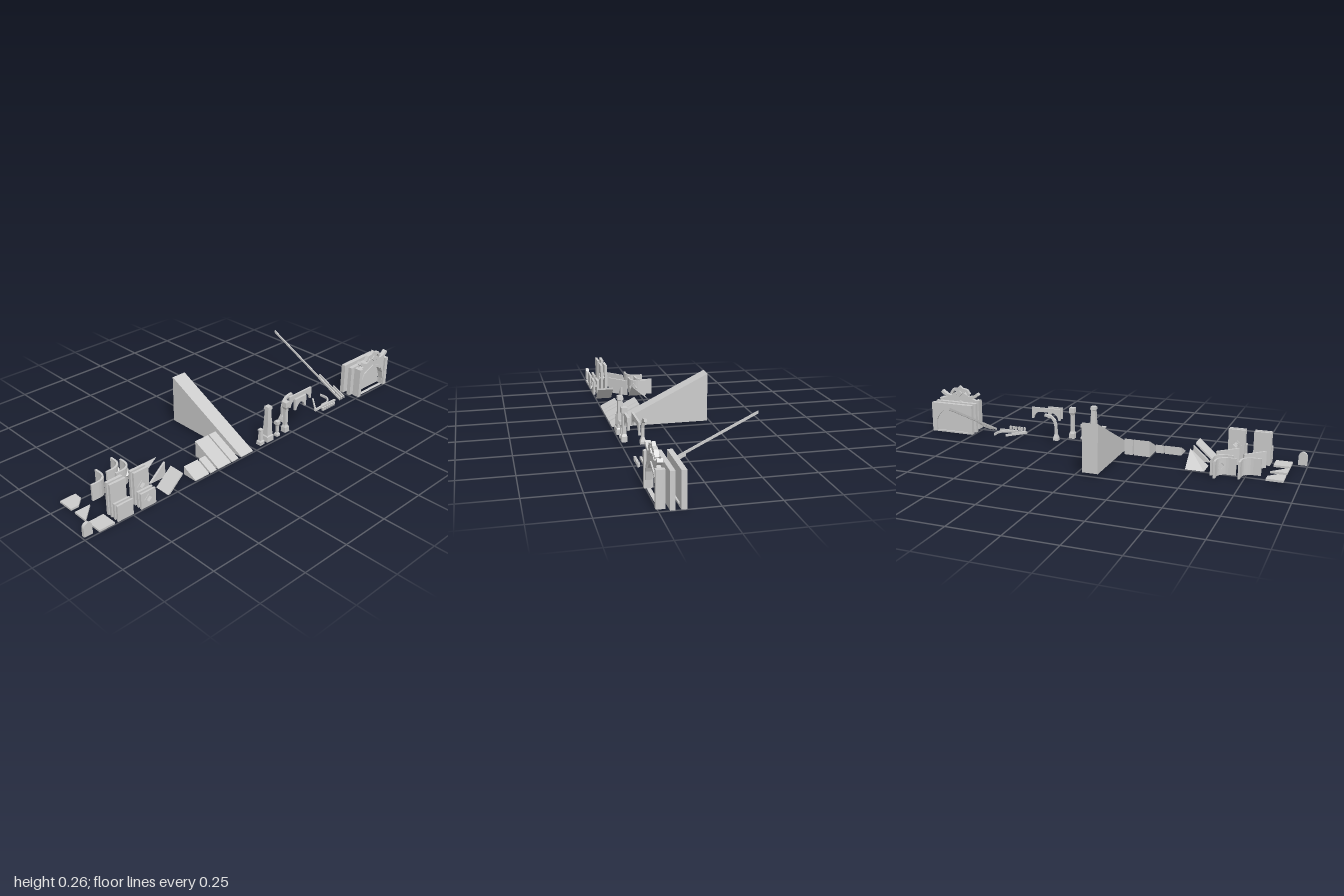
import * as THREE from 'three';

const mat = new THREE.MeshStandardMaterial({ color: 0xcccccc, flatShading: true, side: THREE.DoubleSide });

export function createModel() {
  const root = new THREE.Group();
  const add = (name, geo) => {
    const m = new THREE.Mesh(geo, mat);
    m.name = name;
    root.add(m);
    return m;
  };
  // Box given by its minimum and maximum corners
  const box = (name, x0, x1, y0, y1, z0, z1) =>
    add(name, new THREE.BoxGeometry(x1 - x0, y1 - y0, z1 - z0)
      .translate((x0 + x1) / 2, (y0 + y1) / 2, (z0 + z1) / 2));
  const shapeOf = pts => new THREE.Shape(pts.map(p => new THREE.Vector2(...p)));
  const extrude = (shape, depth) => new THREE.ExtrudeGeometry(shape, { depth, bevelEnabled: false, curveSegments: 8 });
  // Outline in the x-y plane, thick along z
  const upright = (name, shape, z0, z1) => add(name, extrude(shape, z1 - z0).translate(0, 0, z0));
  // Outline in the x-z plane, thick along y
  const plan = (name, shape, y0, y1) => add(name, extrude(shape, y1 - y0).rotateX(Math.PI / 2).translate(0, y1, 0));
  // Outline in the z-y plane, thick along x
  const side = (name, pts, x0, x1) =>
    add(name, extrude(shapeOf(pts.map(([z, y]) => [-z, y])), x1 - x0).rotateY(Math.PI / 2).translate(x0, 0, 0));
  // Ribbon outline of constant thickness around a path
  const ribbon = (pts, t) => {
    const l = [], r = [];
    pts.forEach((p, i) => {
      const a = pts[Math.max(i - 1, 0)], b = pts[Math.min(i + 1, pts.length - 1)];
      const dx = b[0] - a[0], dy = b[1] - a[1], k = t / 2 / Math.hypot(dx, dy);
      l.push([p[0] - dy * k, p[1] + dx * k]);
      r.unshift([p[0] + dy * k, p[1] - dx * k]);
    });
    return shapeOf([...l, ...r]);
  };
  const diamond = (x, y, r) => [[x - r, y], [x, y - r], [x + r, y], [x, y + r]];
  const diamondFrame = (x, y, z, depth) => {
    const s = shapeOf(diamond(x, y, 0.025));
    s.holes.push(shapeOf(diamond(x, y, 0.016)));
    return upright('windowFrame', s, z - depth / 2, z + depth / 2);
  };
  // Quarter-round plan path with straight ends, from (x0, z0) to (x1, z1)
  const cornerPath = (x0, z0, x1, z1) => {
    const pts = [[x0, z0]], r = 0.05;
    for (let i = 0; i <= 6; i++) {
      const a = (i / 6) * Math.PI / 2;
      pts.push([x1 - r + r * Math.sin(a), z0 - r + r * Math.cos(a)]);
    }
    return [...pts, [x1, z1]];
  };

  // Small rounded panel
  const panel = new THREE.Shape();
  panel.moveTo(-1, 0.015);
  panel.lineTo(-0.957, 0.015);
  panel.lineTo(-0.957, 0.058);
  panel.quadraticCurveTo(-0.96, 0.076, -0.9785, 0.08);
  panel.quadraticCurveTo(-0.997, 0.076, -1, 0.058);
  upright('roundedPanel', panel, 0.232, 0.248);

  // Floor tiles: square, triangle, clipped corner
  plan('squareFloor', shapeOf([[-0.93, 0.175], [-0.85, 0.175], [-0.85, 0.255], [-0.93, 0.255]]), 0.01, 0.02);
  plan('triangleFloor', shapeOf([[-0.93, 0.08], [-0.85, 0.08], [-0.93, 0.16]]), 0.01, 0.02);
  plan('clippedFloor', shapeOf([[-0.93, 0.03 - 0.06], [-0.85, -0.03], [-0.85, 0.012], [-0.89, 0.052], [-0.93, 0.052]]), 0.01, 0.02);

  // Straight walls, plain and with diamond windows
  [[0.176, 0.19, 0.175], [0.2, 0.212, 0.175], [0.224, 0.235, 0.09], [0.245, 0.255, 0.09]].forEach(([z0, z1, h]) => {
    box('plainWall', -0.833, -0.75, 0.012, h, z0, z1);
    const y = h > 0.1 ? 0.1 : 0.052;
    const s = shapeOf([[-0.708, 0.012], [-0.627, 0.012], [-0.627, h], [-0.708, h]]);
    s.holes.push(shapeOf(diamond(-0.6675, y, 0.018)));
    upright('windowWall', s, z0, z1);
    diamondFrame(-0.6675, y, (z0 + z1) / 2, z1 - z0 + 0.006);
  });

  // Diagonal and corner walls
  for (const x of [-0.815, -0.685]) plan('diagonalWall', ribbon([[x, 0.158], [x + 0.09, 0.073]], 0.01), 0.008, 0.09);
  plan('cornerWall', ribbon(cornerPath(-0.815, 0.046, -0.728, -0.04), 0.01), 0.004, 0.087);
  for (const [x, z] of [[-0.705, 0.008], [-0.682, 0.046]]) {
    plan('cornerWall', ribbon(cornerPath(x, z, x + 0.086, z - 0.08), 0.01), 0.004, 0.087);
    const f = diamondFrame(0, 0, 0, 0.016);
    f.position.set(x + 0.071, 0.048, z - 0.015);
    f.rotation.y = Math.PI / 4;
  }

  // Roof pieces: gable wall, slope, hip corner
  upright('gableWall', shapeOf([[-0.557, 0.013], [-0.47, 0.013], [-0.47, 0.09]]), 0.12, 0.131);
  upright('roofSlope', shapeOf([[-0.557, 0.013], [-0.545, 0.013], [-0.47, 0.081], [-0.47, 0.09]]), 0.17, 0.252);
  const hip = new THREE.BufferGeometry();
  hip.setAttribute('position', new THREE.Float32BufferAttribute([
    -0.56, 0.013, -0.02, -0.56, 0.013, 0.07, -0.468, 0.09, 0.07,
    -0.56, 0.013, -0.02, -0.468, 0.09, 0.07, -0.468, 0.013, -0.02], 3));
  hip.computeVertexNormals();
  add('hipCorner', hip);

  // Ramps of one shared gradient
  [[-0.397, -0.313, 0.175], [-0.305, -0.266, 0.175], [-0.256, -0.176, 0.096], [-0.169, -0.126, 0.096], [-0.108, -0.03, -0.23]]
    .forEach(([x0, x1, zb]) =>
      side('ramp', [[0.253, 0.012], [0.253, 0.016], [zb, 0.016 + (0.253 - zb) * 0.495], [zb, 0.012]], x0, x1));

  // Square-sided pillars: [height, half width] profiles
  const pillar = (name, x, z, profile) => add(name,
    new THREE.LatheGeometry([[0, profile[0][0]], ...profile.map(([y, r]) => [r * Math.SQRT2, y]), [0, profile.at(-1)[0]]]
      .map(p => new THREE.Vector2(...p)), 4).rotateY(Math.PI / 4).translate(x, 0, z));
  pillar('shortPillar', 0.037, 0.237, [[0.018, 0.014], [0.035, 0.014], [0.042, 0.009], [0.09, 0.007], [0.093, 0.01], [0.1, 0.01]]);
  pillar('taperedPillar', 0.09, 0.232, [[0.018, 0.022], [0.045, 0.021], [0.05, 0.017], [0.185, 0.011], [0.188, 0.015], [0.204, 0.013]]);
  pillar('smallPost', 0.152, 0.238, [[0.018, 0.011], [0.03, 0.011], [0.038, 0.006], [0.075, 0.006], [0.083, 0.011], [0.1, 0.011]]);
  pillar('tallPost', 0.211, 0.236, [[0.018, 0.014], [0.045, 0.014], [0.057, 0.009], [0.145, 0.009], [0.158, 0.014], [0.184, 0.014]]);

  // Curved bracket on a foot
  pillar('bracketFoot', 0.272, 0.16, [[0.022, 0.014], [0.035, 0.013], [0.055, 0.007], [0.075, 0.006]]);
  upright('curvedBracket', ribbon([[0.272, 0.06], [0.273, 0.1], [0.28, 0.128], [0.298, 0.145], [0.335, 0.152]], 0.013), 0.153, 0.167);

  // Arched beams
  const beam = (x0, x1, z0, z1) => {
    const s = new THREE.Shape();
    s.moveTo(x0, 0.175);
    s.lineTo(x0, 0.115);
    s.lineTo(x0 + 0.01, 0.115);
    s.quadraticCurveTo(x0 + 0.015, 0.145, x0 + 0.045, 0.153);
    s.lineTo(x1 - 0.045, 0.153);
    s.quadraticCurveTo(x1 - 0.015, 0.145, x1 - 0.01, 0.115);
    s.lineTo(x1, 0.115);
    s.lineTo(x1, 0.175);
    upright('archedBeam', s, z0, z1);
  };
  beam(0.267, 0.428, 0.201, 0.211);
  beam(0.27, 0.35, 0.234, 0.246);

  // Level rails: straight, diagonal, corner, and a row of studs
  box('straightRail', 0.465, 0.623, 0.021, 0.033, 0.206, 0.215);
  plan('diagonalRail', ribbon([[0.475, 0.205], [0.548, 0.125]], 0.007), 0.021, 0.033);
  plan('cornerRail', ribbon(cornerPath(0.53, 0.2, 0.612, 0.122), 0.007), 0.021, 0.033);
  for (let i = 0; i < 6; i++) box('railStud', 0.488 + i * 0.0165, 0.498 + i * 0.0165, 0.027, 0.044, 0.235, 0.246);

  // Sloping handrails
  [[0.653, -0.257], [0.671, 0.06], [0.689, 0.145]].forEach(([x, zb]) => {
    const top = 0.022 + (0.222 - zb) * 0.495;
    side('slopingHandrail', [[0.222, 0.018], [0.222, 0.03], [zb, top + 0.006], [zb, top - 0.006]], x - 0.003, x + 0.003);
  });

  // Gate walls: a solid backing and a framed arch
  const cx = 0.877;
  const arch = (half, spring, apex) => {
    const s = new THREE.Shape();
    s.moveTo(cx - half, 0.012);
    s.lineTo(cx + half, 0.012);
    s.lineTo(cx + half * 0.97, spring);
    s.quadraticCurveTo(cx + half * 0.75, apex - 0.015, cx, apex);
    s.quadraticCurveTo(cx - half * 0.75, apex - 0.015, cx - half * 0.97, spring);
    return s;
  };
  box('gateBacking', 0.756, 0.998, 0.003, 0.163, 0.184, 0.205);
  const framed = shapeOf([[0.756, 0.003], [0.998, 0.003], [0.998, 0.163], [0.756, 0.163]]);
  framed.holes.push(arch(0.095, 0.07, 0.14));
  upright('gateArchWall', framed, 0.138, 0.161);
  upright('gateDoor', arch(0.096, 0.07, 0.141), 0.146, 0.154);

  // Ornate gate front
  const front = shapeOf([[0.757, 0.012], [0.997, 0.012], [0.993, 0.16], [0.94, 0.18], [0.915, 0.2],
    [0.839, 0.2], [0.814, 0.18], [0.761, 0.16]]);
  front.holes.push(arch(0.095, 0.075, 0.148));
  upright('gateFront', front, 0.232, 0.25);
  for (const s of [-1, 1]) {
    const at = pts => pts.map(([x, y]) => [cx + s * x, y]);
    box('gatePost', cx + s * 0.108 - 0.011, cx + s * 0.108 + 0.011, 0.012, 0.17, 0.222, 0.26);
    upright('gateBrace', ribbon(at([[0.098, 0.05], [0.09, 0.09], [0.068, 0.13], [0, 0.157]]), 0.012), 0.226, 0.256);
    upright('gateShoulder', ribbon(at([[0.112, 0.205], [0.085, 0.185], [0.05, 0.178], [0.02, 0.2]]), 0.016), 0.23, 0.253);
    upright('crestWing', ribbon(at([[0.055, 0.195], [0.04, 0.218], [0.012, 0.222]]), 0.014), 0.232, 0.251);
  }
  upright('crest', shapeOf(diamond(cx, 0.212, 0.031)), 0.234, 0.25);
  upright('crestJewel', shapeOf(diamond(cx, 0.2, 0.016)), 0.228, 0.256);

  return root;
}
